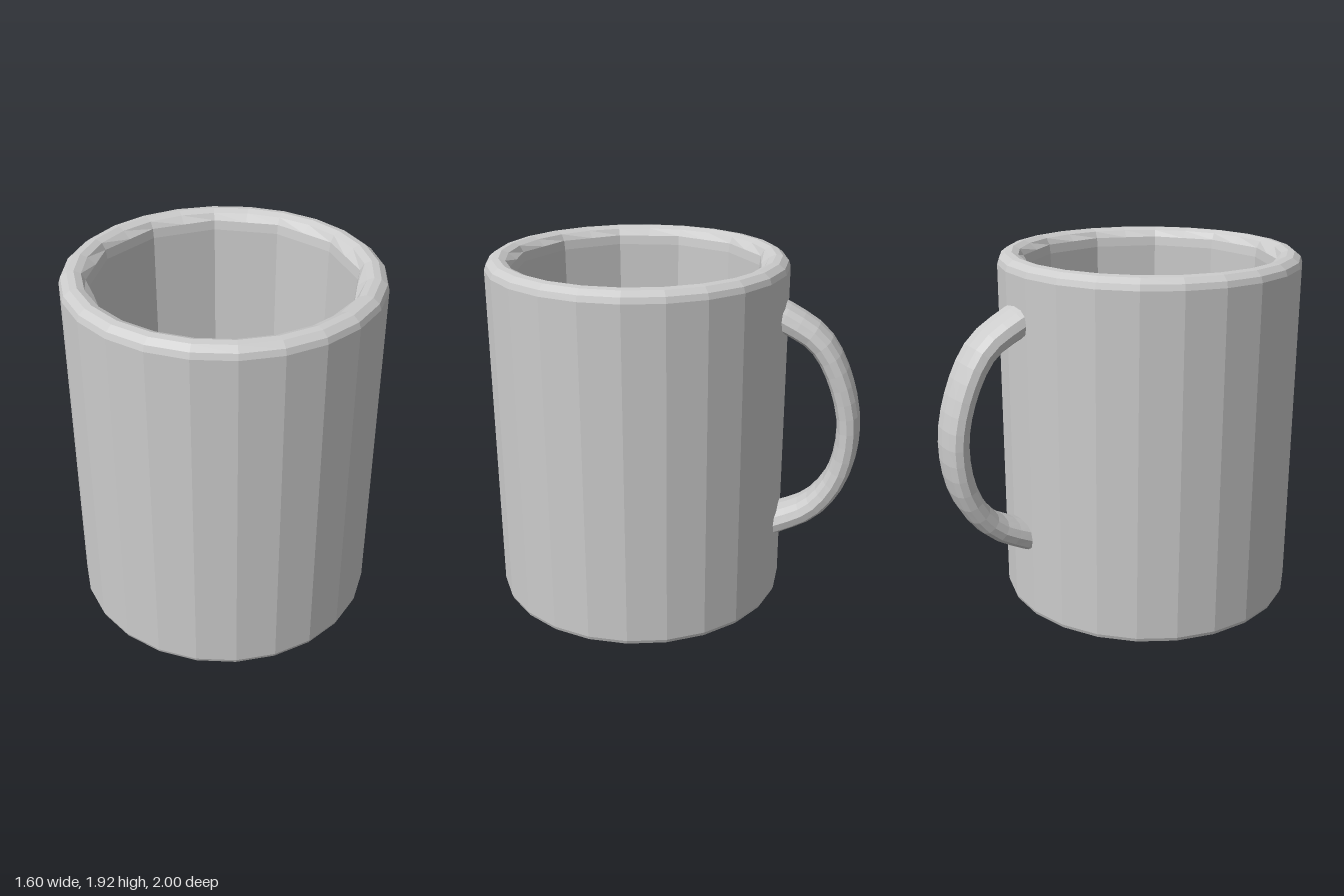
import * as THREE from 'three';

const SIDES = 24;
const material = new THREE.MeshStandardMaterial({ color: 0xcccccc, flatShading: true });

// Cup wall, rounded rim, inner wall and floor as one turned profile
function createCup() {
  const profile = [
    [0, 0], [0.775, 0], [0.8, 0.01], [0.807, 0.03], [0.807, 1.86], [0.797, 1.89], [0.765, 1.915],
    [0.73, 1.92], [0.695, 1.905], [0.675, 1.87], [0.668, 1.82], [0.66, 0.17], [0.63, 0.14], [0, 0.14],
  ].map(([r, y]) => new THREE.Vector2(r, y));
  const geometry = new THREE.LatheGeometry(profile, SIDES, Math.PI / SIDES);

  // The inside has half as many facets: pull every second column onto the chord
  const pos = geometry.attributes.position;
  const chord = Math.cos((2 * Math.PI) / SIDES);
  for (let i = 0; i < pos.count; i++) {
    const column = Math.floor(i / profile.length);
    if (column % 2 === 1 && i % profile.length >= 9) {
      pos.setXYZ(i, pos.getX(i) * chord, pos.getY(i), pos.getZ(i) * chord);
    }
  }
  const cup = new THREE.Mesh(geometry, material);
  cup.name = 'cup';
  return cup;
}

// Wide, flattened strap swept along a bowed path in the local xy plane
function createHandle() {
  const path = new THREE.CatmullRomCurve3([
    [0.72, 1.65], [0.82, 1.61], [0.98, 1.51], [1.09, 1.33], [1.16, 1.05],
    [1.12, 0.76], [0.99, 0.56], [0.82, 0.46], [0.72, 0.42],
  ].map(([x, y]) => new THREE.Vector3(x, y, 0)));
  const steps = 20, around = 12;
  const positions = [], index = [];
  const soften = (v) => Math.sign(v) * Math.abs(v) ** 0.8;

  for (let i = 0; i <= steps; i++) {
    const p = path.getPointAt(i / steps);
    const t = path.getTangentAt(i / steps);
    const thick = 0.063 + 0.015 * Math.abs((2 * i) / steps - 1) ** 3;
    for (let j = 0; j < around; j++) {
      const a = (j / around) * Math.PI * 2;
      const n = soften(Math.cos(a)) * thick;
      positions.push(p.x - t.y * n, p.y + t.x * n, soften(Math.sin(a)) * 0.127);
      if (i < steps) {
        const k = (j + 1) % around, row = i * around, next = row + around;
        index.push(row + j, row + k, next + j, row + k, next + k, next + j);
      }
    }
  }
  const geometry = new THREE.BufferGeometry();
  geometry.setAttribute('position', new THREE.Float32BufferAttribute(positions, 3));
  geometry.setIndex(index);
  geometry.computeVertexNormals();
  const handle = new THREE.Mesh(geometry, material);
  handle.name = 'handle';
  handle.rotation.y = THREE.MathUtils.degToRad(103.2);
  return handle;
}

export function createModel() {
  const mug = new THREE.Group();
  mug.name = 'mug';
  const body = new THREE.Group();
  body.name = 'mugBody';
  body.position.z = 0.2;
  body.add(createCup(), createHandle());
  mug.add(body);
  return mug;
}
